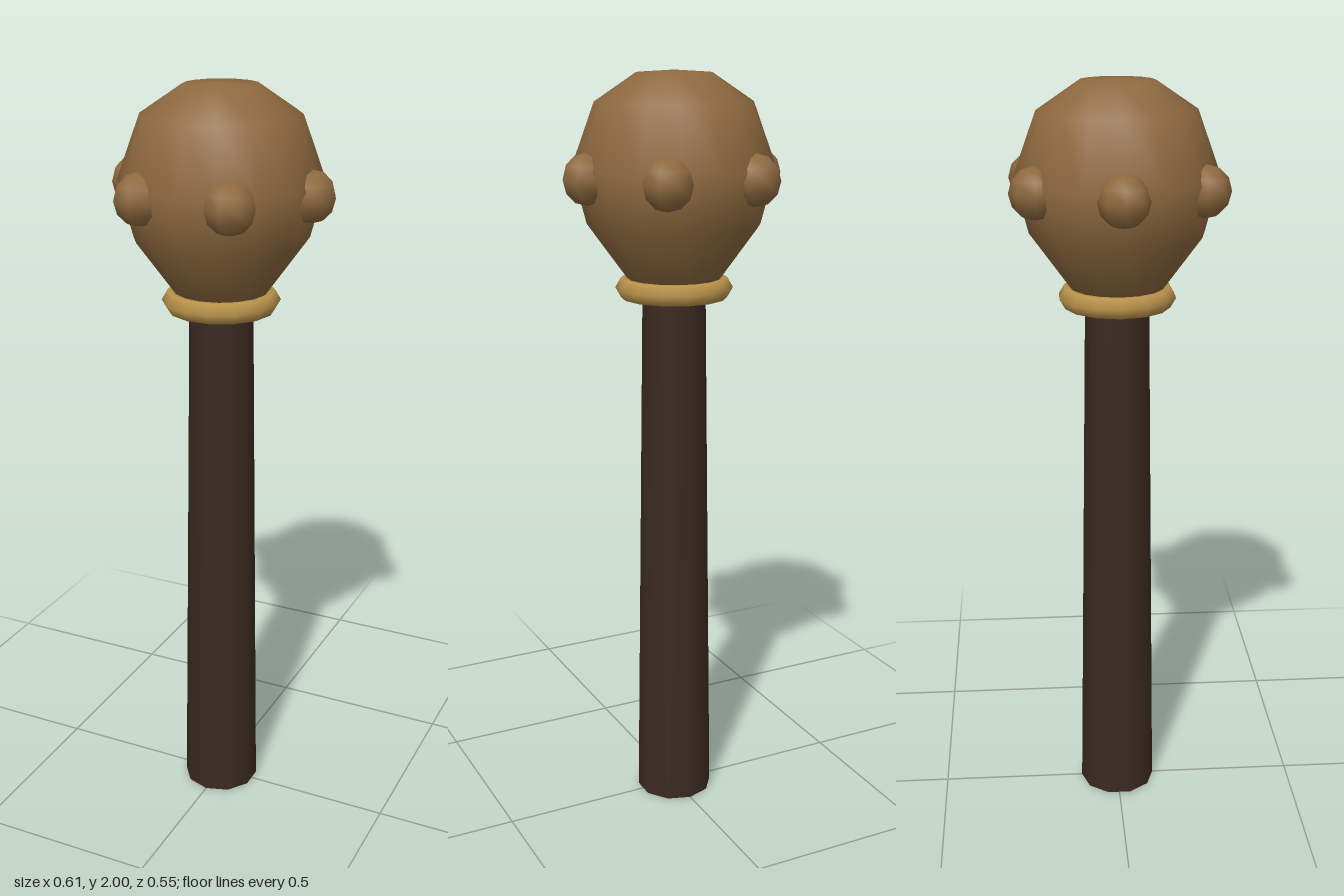
import * as THREE from 'three';

export function createModel() {
  const model = new THREE.Group();
  model.name = 'club';

  const material = (name, color) => {
    const m = new THREE.MeshStandardMaterial({ color });
    m.name = name;
    return m;
  };
  const paleWood = material('pale wood', 0x8e693f);
  const darkWood = material('dark wood', 0x3b2a21);
  const brass = material('brass', 0xb8914a);

  const add = (name, geometry, mat, x, y, z) => {
    const mesh = new THREE.Mesh(geometry, mat);
    mesh.name = name;
    mesh.position.set(x, y, z);
    model.add(mesh);
    return mesh;
  };

  // Tapered ten-sided handle, running up into the head
  const handleHeight = 1.48;
  add('handle', new THREE.CylinderGeometry(0.083, 0.104, handleHeight, 10), darkWood, 0, handleHeight / 2, 0);

  // Turned head, profile from the neck up to the crown
  const profile = [
    [0, 1.46], [0.11, 1.46], [0.225, 1.618], [0.262, 1.76],
    [0.202, 1.923], [0.096, 1.994], [0, 2],
  ].map(([r, y]) => new THREE.Vector2(r, y));
  add('head', new THREE.LatheGeometry(profile, 16), paleWood, 0, 0, 0);

  // Ring collar under the head
  const ring = new THREE.TorusGeometry(0.124, 0.03, 6, 14).rotateX(Math.PI / 2);
  add('collar', ring, brass, 0, 1.452, 0);

  // Six studs around the head
  const stud = new THREE.SphereGeometry(0.066, 8, 6);
  for (let i = 0; i < 6; i++) {
    const a = (i * Math.PI) / 3;
    add('stud' + (i + 1), stud, paleWood, 0.24 * Math.cos(a), 1.74, 0.24 * Math.sin(a));
  }

  return model;
}
